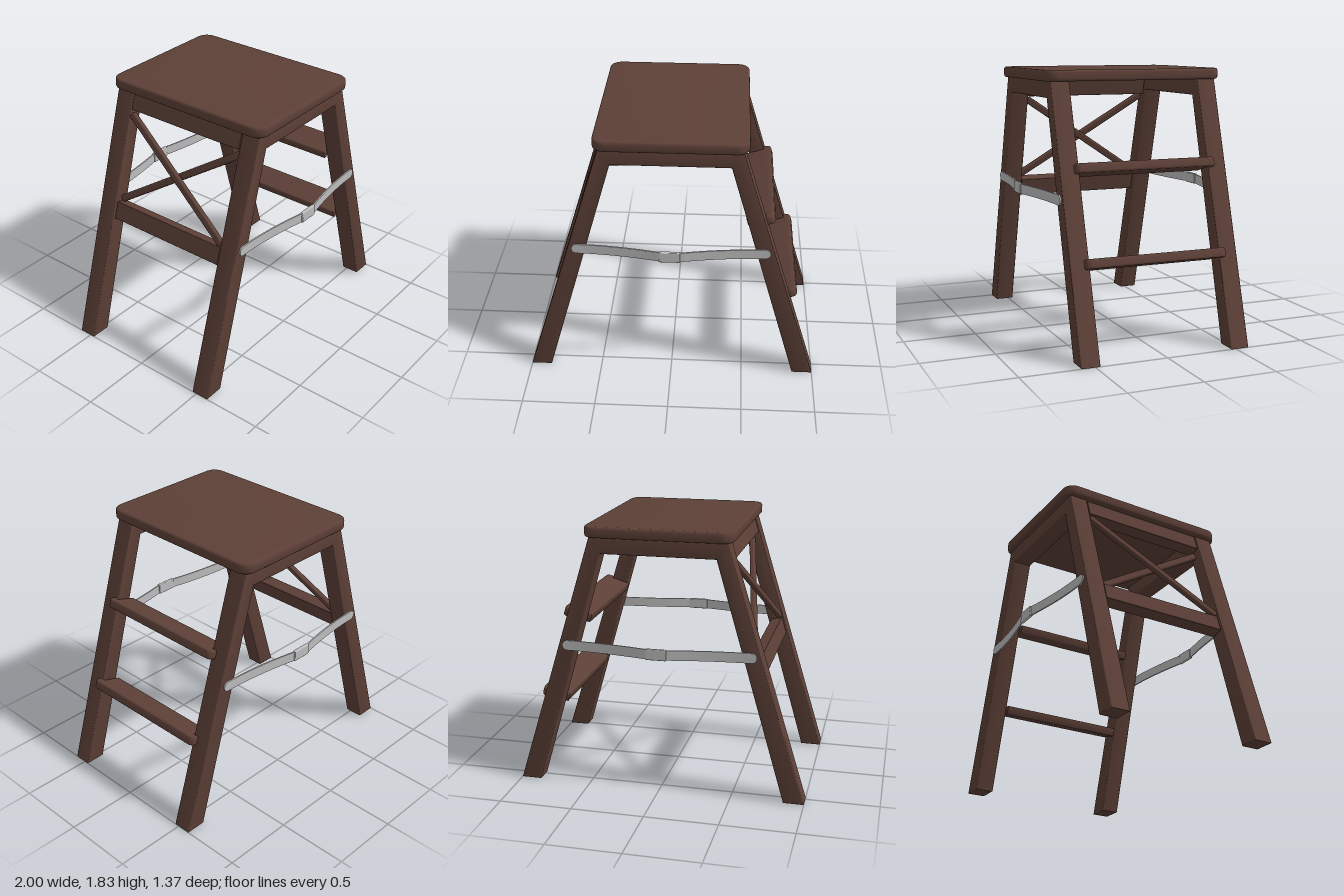
import * as THREE from 'three';
import { toCreasedNormals } from 'three/addons/utils/BufferGeometryUtils.js';
import { RoundedBoxGeometry } from 'three/addons/geometries/RoundedBoxGeometry.js';

const LEAN = 0.293; // legs lean inwards by this angle

export function createModel() {
  const root = new THREE.Group();
  root.name = 'stepStool';
  const wood = new THREE.MeshStandardMaterial({ color: 0x5d4037 });
  wood.name = 'brown wood';
  const metal = new THREE.MeshStandardMaterial({ color: 0xbdbdbd });
  metal.name = 'light grey metal';

  const add = (name, geometry, material, x, y, z, parent = root) => {
    const mesh = new THREE.Mesh(geometry, material);
    mesh.name = name;
    mesh.position.set(x, y, z);
    parent.add(mesh);
    return mesh;
  };

  // Bevelled plate of a given total thickness, centred on its own mid plane
  const plate = (shape, thickness, bevel) => {
    const g = new THREE.ExtrudeGeometry(shape, {
      depth: thickness - 2 * bevel, bevelThickness: bevel, bevelSize: bevel,
      bevelOffset: -bevel, bevelSegments: 3, curveSegments: 8,
    });
    g.translate(0, 0, bevel - thickness / 2);
    return toCreasedNormals(g, 0.6);
  };

  // Side frames: two splayed legs joined by a rail
  const frame = new THREE.Shape([
    [-1, 0], [-0.86, 0], [-0.388, 1.645], [0.388, 1.645],
    [0.86, 0], [1, 0], [0.462, 1.76], [-0.462, 1.76],
  ].map(([x, y]) => new THREE.Vector2(x, y)));
  const frameGeometry = plate(frame, 0.132, 0.008);
  add('frontLegFrame', frameGeometry, wood, 0, 0, 0.53);
  add('backLegFrame', frameGeometry, wood, 0, 0, -0.53);

  // Seat with rounded corners
  const sx = 0.5, sz = 0.634, r = 0.085;
  const top = new THREE.Shape();
  top.moveTo(-sx + r, -sz);
  top.absarc(sx - r, -sz + r, r, -Math.PI / 2, 0);
  top.absarc(sx - r, sz - r, r, 0, Math.PI / 2);
  top.absarc(-sx + r, sz - r, r, Math.PI / 2, Math.PI);
  top.absarc(-sx + r, -sz + r, r, Math.PI, Math.PI * 1.5);
  add('seat', plate(top, 0.074, 0.016).rotateX(-Math.PI / 2), wood, 0, 1.792, 0);

  // Treads: narrow between the legs, with a wider rounded nose in front of them
  const tread = new THREE.Shape();
  tread.moveTo(-0.095, -0.458);
  tread.lineTo(0.035, -0.458);
  tread.lineTo(0.035, -0.5);
  tread.lineTo(0.055, -0.5);
  tread.quadraticCurveTo(0.095, -0.5, 0.095, -0.455);
  tread.lineTo(0.095, 0.455);
  tread.quadraticCurveTo(0.095, 0.5, 0.055, 0.5);
  tread.lineTo(0.035, 0.5);
  tread.lineTo(0.035, 0.458);
  tread.lineTo(-0.095, 0.458);
  const treadGeometry = plate(tread, 0.064, 0.012).rotateX(-Math.PI / 2);
  for (const [name, x, y] of [['upperTread', 0.595, 1.19], ['lowerTread', 0.77, 0.602]]) {
    add(name, treadGeometry, wood, x, y, 0).rotation.z = LEAN;
  }

  // Rails between the legs on the side away from the treads
  const railGeometry = new RoundedBoxGeometry(0.085, 0.126, 0.915, 2, 0.005);
  for (const [name, x, y] of [['upperRail', -0.435, 1.683], ['lowerRail', -0.66, 0.928]]) {
    add(name, railGeometry, wood, x, y, 0).rotation.z = -LEAN;
  }

  // Crossed braces between the rails
  const braces = new THREE.Group();
  braces.name = 'crossBraces';
  braces.position.set(-0.557, 1.3, 0);
  braces.rotation.z = -LEAN;
  root.add(braces);
  const braceGeometry = new RoundedBoxGeometry(0.038, 0.05, 1.1, 3, 0.012);
  for (const side of [1, -1]) {
    const name = side > 0 ? 'innerBrace' : 'outerBrace';
    add(name, braceGeometry, wood, side * 0.02, 0, 0, braces).rotation.x = -side * 0.594;
  }

  // Metal stays bowing outwards across each side, with a hinge block in the middle
  const bow = (x) => 0.067 * Math.pow(Math.max(0, 0.63 - Math.abs(x)) / 0.56, 1.8);
  const strip = new THREE.BoxGeometry(1.26, 0.068, 0.01, 36, 1, 1);
  const p = strip.attributes.position;
  for (let i = 0; i < p.count; i++) {
    p.setZ(i, p.getZ(i) + Math.min(0.067, bow(p.getX(i))));
  }
  strip.computeVertexNormals();
  const endGeometry = new THREE.CylinderGeometry(0.034, 0.034, 0.01, 24).rotateX(Math.PI / 2);
  const hingeGeometry = new RoundedBoxGeometry(0.142, 0.074, 0.026, 2, 0.006);
  for (const side of [1, -1]) {
    const stay = new THREE.Group();
    stay.name = side > 0 ? 'frontStay' : 'backStay';
    stay.position.set(0, 1.008, side * 0.602);
    if (side < 0) stay.rotation.y = Math.PI;
    root.add(stay);
    add('stayStrip', strip, metal, 0, 0, 0, stay);
    add('stayHinge', hingeGeometry, metal, -0.005 * side, 0, 0.068, stay);
    for (const end of [1, -1]) add('stayEnd', endGeometry, metal, end * 0.63, 0, 0, stay);
  }

  return root;
}
